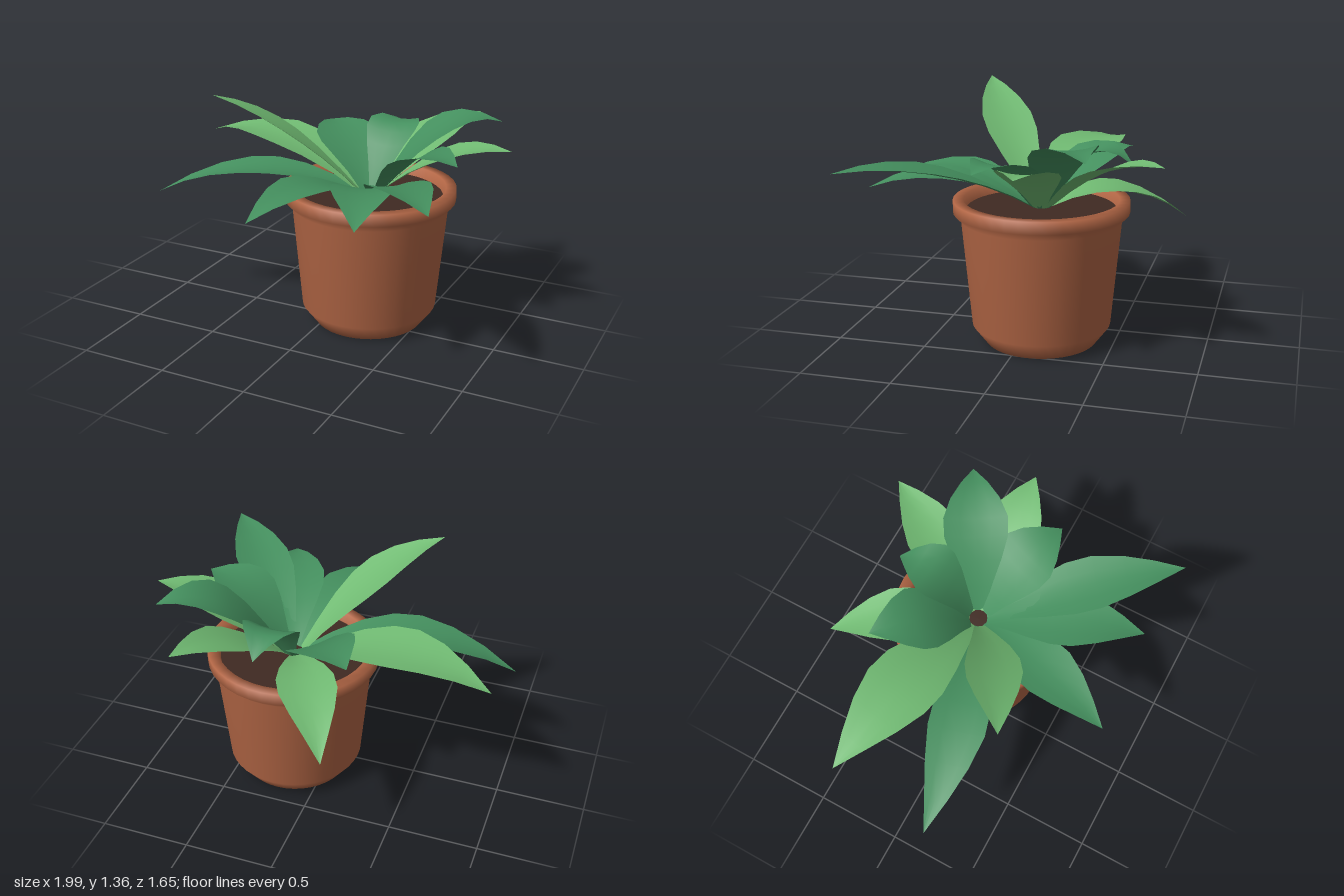
import * as THREE from 'three';

const CX = 0.205, CZ = -0.09, BASE_Y = 0.765;

// Half width of a leaf along its length, as a share of its widest point
const OUTLINE = [[0, 0.2], [0.13, 0.45], [0.28, 0.76], [0.42, 0.97], [0.55, 0.98], [0.7, 0.75], [0.85, 0.4], [1, 0]];

// Leaf blade: arched strip, five points across, slightly cupped.
function leafGeometry([tx, ty, tz, midY, half, bend = 0]) {
  const len = Math.hypot(tx - CX, tz - CZ);
  const ux = (tx - CX) / len, uz = (tz - CZ) / len;
  const start = 0.05, across = 4;
  const pos = [], index = [];
  const ctrlY = 2 * midY - (BASE_Y + ty) / 2;
  OUTLINE.forEach(([t, w], i) => {
    const along = start + (len - start) * t;
    const y = (1 - t) ** 2 * BASE_Y + 2 * t * (1 - t) * ctrlY + t * t * ty;
    for (let j = 0; j <= across; j++) {
      const s = j / across * 2 - 1;
      const side = s * w * half + bend * 4 * t * (1 - t);
      pos.push(CX + ux * along - uz * side, y + 0.025 * w * (s * s - 0.4), CZ + uz * along + ux * side);
      if (i && j) {
        const d = i * (across + 1) + j, c = d - 1, b = d - across - 1, a = b - 1;
        index.push(a, b, c, b, d, c);
      }
    }
  });
  // Wind the faces so the upper side is the front
  for (let k = 0; k < index.length; k += 3) [index[k + 1], index[k + 2]] = [index[k + 2], index[k + 1]];
  const g = new THREE.BufferGeometry();
  g.setAttribute('position', new THREE.Float32BufferAttribute(pos, 3));
  g.setIndex(index);
  g.computeVertexNormals();
  return g;
}

export function createModel() {
  const group = new THREE.Group();
  const material = (name, color, side = THREE.FrontSide) =>
    Object.assign(new THREE.MeshStandardMaterial({ color, side }), { name });
  const terracotta = material('terracotta', 0xb26645);
  const earth = material('dark earth', 0x402a22);
  const lightGreen = material('light green', 0x70ba72, THREE.DoubleSide);
  const darkGreen = material('dark green', 0x448f5e, THREE.DoubleSide);

  const add = (name, geometry, mat, parent = group) => {
    const mesh = new THREE.Mesh(geometry, mat);
    mesh.name = name;
    parent.add(mesh);
    return mesh;
  };

  // Pot with chamfered foot, flared rim and inner wall
  const profile = [[0, 0], [0.31, 0], [0.385, 0.1], [0.44, 0.7], [0.482, 0.742], [0.482, 0.81], [0.425, 0.81], [0.405, 0.74]]
    .map(([r, y]) => new THREE.Vector2(r, y));
  add('pot', new THREE.LatheGeometry(profile, 40), terracotta).position.set(CX, 0, CZ);

  // Soil
  const soil = add('soil', new THREE.CircleGeometry(0.415, 40), earth);
  soil.rotation.x = -Math.PI / 2;
  soil.position.set(CX, 0.755, CZ);

  // Leaves: tip x, y, z, height at the middle, half width, sideways bend
  const leaves = new THREE.Group();
  leaves.name = 'leaves';
  group.add(leaves);
  const lightLeaves = [
    [-0.22, 0.646, -0.83, 0.84, 0.16],
    [0.595, 1.106, -0.81, 1.03, 0.16],
    [0.99, 1.096, -0.15, 1.03, 0.17],
    [-0.505, 1.36, 0.40, 1.15, 0.15, -0.03],
    [-0.965, 0.92, -0.325, 1.0, 0.2],
  ];
  const darkLeaves = [
    [0.835, 1.16, -0.465, 1.14, 0.18],
    [0.79, 1.06, 0.12, 1.05, 0.18],
    [0.905, 1.05, 0.82, 1.01, 0.16],
    [0.515, 0.89, 0.785, 0.95, 0.17],
    [-0.07, 0.845, 0.82, 0.93, 0.16],
    [-1.0, 0.685, 0.23, 0.89, 0.16, -0.05],
    [-0.25, 1.027, -0.515, 1.01, 0.19],
    [0.23, 1.02, -0.6, 1.09, 0.155],
  ];
  lightLeaves.forEach((l, i) => add(`lightLeaf${i + 1}`, leafGeometry(l), lightGreen, leaves));
  darkLeaves.forEach((l, i) => add(`darkLeaf${i + 1}`, leafGeometry(l), darkGreen, leaves));

  return group;
}
